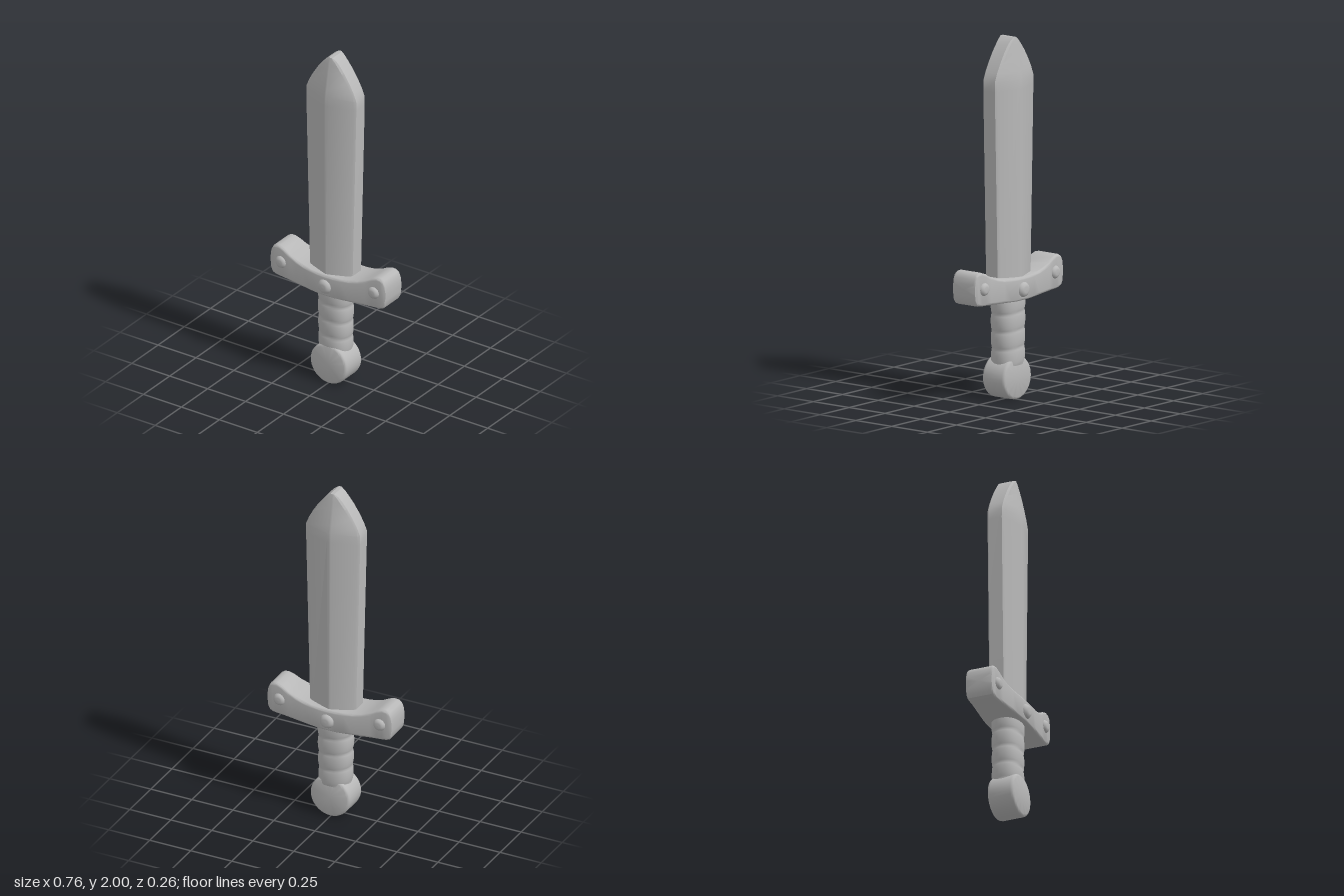
import * as THREE from 'three';
import { toCreasedNormals } from 'three/addons/utils/BufferGeometryUtils.js';

const steel = new THREE.MeshStandardMaterial({ color: 0xb8b8b8 });
steel.name = 'grey';

// Closed skin through equal-length rings of points, capped at both ends
function loft(rings, crease) {
  const n = rings[0].length, pos = [], idx = [];
  rings.forEach(r => r.forEach(p => pos.push(...p)));
  for (let i = 0; i < rings.length - 1; i++) {
    for (let j = 0; j < n; j++) {
      const a = i * n + j, b = i * n + (j + 1) % n;
      idx.push(a, a + n, b, b, a + n, b + n);
    }
  }
  [0, rings.length - 1].forEach((k, end) => {
    const centre = [0, 1, 2].map(c => rings[k].reduce((s, p) => s + p[c], 0) / n);
    const ci = pos.length / 3;
    pos.push(...centre);
    for (let j = 0; j < n; j++) {
      const a = k * n + j, b = k * n + (j + 1) % n;
      if (end) idx.push(ci, b, a); else idx.push(ci, a, b);
    }
  });
  const g = new THREE.BufferGeometry();
  g.setAttribute('position', new THREE.Float32BufferAttribute(pos, 3));
  g.setIndex(idx);
  return toCreasedNormals(g, crease);
}

// Rounded rectangle as [u, v] points, counter-clockwise
function roundedRect(hu, hv, r) {
  const pts = [];
  [[1, 1], [-1, 1], [-1, -1], [1, -1]].forEach(([su, sv], q) => {
    for (let k = 0; k <= 4; k++) {
      const t = (q + k / 4) * Math.PI / 2;
      pts.push([su * (hu - r) + r * Math.cos(t), sv * (hv - r) + r * Math.sin(t)]);
    }
  });
  return pts;
}

// Blade section: flat edges, bevelled corners and a soft central ridge
function bladeRing([y, w, ridge]) {
  const e = 0.047, b = Math.min(0.012, w * 0.3), m = Math.min(0.012, w * 0.25);
  const slope = x => ridge - (ridge - e) * x / w;
  const quarter = [[w, e - b * 0.6], [w - b, slope(w - b)], [m, slope(m)]];
  const half = [...quarter, [0, ridge - 0.001], ...quarter.slice().reverse().map(([x, z]) => [-x, z])];
  return [...half, ...half.slice().reverse().map(([x, z]) => [x, -z])]
    .map(([x, z]) => [x - 0.003, y, z]);
}

export function createModel() {
  const group = new THREE.Group();
  const add = (name, geometry) => {
    const mesh = new THREE.Mesh(geometry, steel);
    mesh.name = name;
    group.add(mesh);
    return mesh;
  };

  // Blade: y, half width, ridge depth
  add('blade', loft([
    [0.62, 0.139, 0.095], [1.72, 0.165, 0.095], [1.775, 0.164, 0.094], [1.82, 0.146, 0.086],
    [1.87, 0.119, 0.077], [1.92, 0.087, 0.067], [1.96, 0.056, 0.059], [1.985, 0.033, 0.054], [2, 0.011, 0.05],
  ].map(bladeRing), 0.5));

  // Guard: x, bottom y, top y, half depth
  const half = [
    [0, 0.552, 0.682, 0.111], [0.05, 0.552, 0.683, 0.11], [0.1, 0.554, 0.685, 0.106],
    [0.15, 0.556, 0.69, 0.1], [0.2, 0.558, 0.7, 0.094], [0.25, 0.56, 0.718, 0.088],
    [0.29, 0.562, 0.74, 0.084], [0.32, 0.563, 0.751, 0.082], [0.345, 0.566, 0.75, 0.081],
    [0.362, 0.573, 0.739, 0.08], [0.373, 0.59, 0.718, 0.078], [0.378, 0.625, 0.69, 0.076],
  ];
  const stations = [...half.slice(1).reverse().map(([x, ...s]) => [-x, ...s]), ...half];
  add('guard', loft(stations.map(([x, lo, hi, d]) =>
    roundedRect(d, (hi - lo) / 2, 0.016).map(([z, y]) => [x, (lo + hi) / 2 + y, z])), 0.6));

  // Rivets on both faces of the guard
  const rivet = [[0, 1], [0.4, 0.98], [0.65, 0.9], [0.85, 0.6], [1, 0.2], [1, -0.6]];
  for (const [x, y, r, base, tip] of [[-0.305, 0.657, 0.036, 0.078, 0.1], [0.303, 0.657, 0.036, 0.078, 0.1], [0, 0.613, 0.043, 0.104, 0.131]]) {
    for (const side of [1, -1]) {
      const profile = rivet.map(([a, h]) => new THREE.Vector2(a * r, base + h * (tip - base))).reverse();
      const mesh = add('rivet', new THREE.LatheGeometry(profile, 20));
      mesh.rotation.x = side * Math.PI / 2;
      mesh.position.set(x, y, 0);
    }
  }

  // Grip: oval column with slanted, bulging wraps
  const gripRings = [];
  for (let i = 0; i <= 40; i++) {
    const t = i / 40, ring = [];
    for (let j = 0; j < 28; j++) {
      const a = j / 28 * Math.PI * 2;
      const wrap = Math.abs(Math.sin(Math.PI * (t * 4 + 0.12 * Math.cos(a))));
      const swell = 0.92 + 0.08 * Math.sqrt(wrap);
      const rx = (0.094 + 0.008 * t) * swell, rz = 0.083 * swell;
      // Slightly squared oval
      const c = Math.cos(a), s = Math.sin(a);
      ring.push([rx * Math.sign(c) * Math.abs(c) ** 0.85, 0.19 + 0.39 * t, rz * Math.sign(s) * Math.abs(s) ** 0.85]);
    }
    gripRings.push(ring);
  }
  add('grip', loft(gripRings, 0.9));

  // Pommel: thick disc with rounded rims, facing front and back
  const rim = [[0, -0.078], [0.106, -0.078], [0.113, -0.075], [0.118, -0.069], [0.12, -0.06]];
  const disc = [...rim, ...rim.slice().reverse().map(([r, h]) => [r, -h])].map(p => new THREE.Vector2(...p));
  const pommel = add('pommel', toCreasedNormals(new THREE.LatheGeometry(disc, 40), 0.6));
  pommel.rotation.x = Math.PI / 2;
  pommel.position.set(0.003, 0.12, 0.005);

  return group;
}
